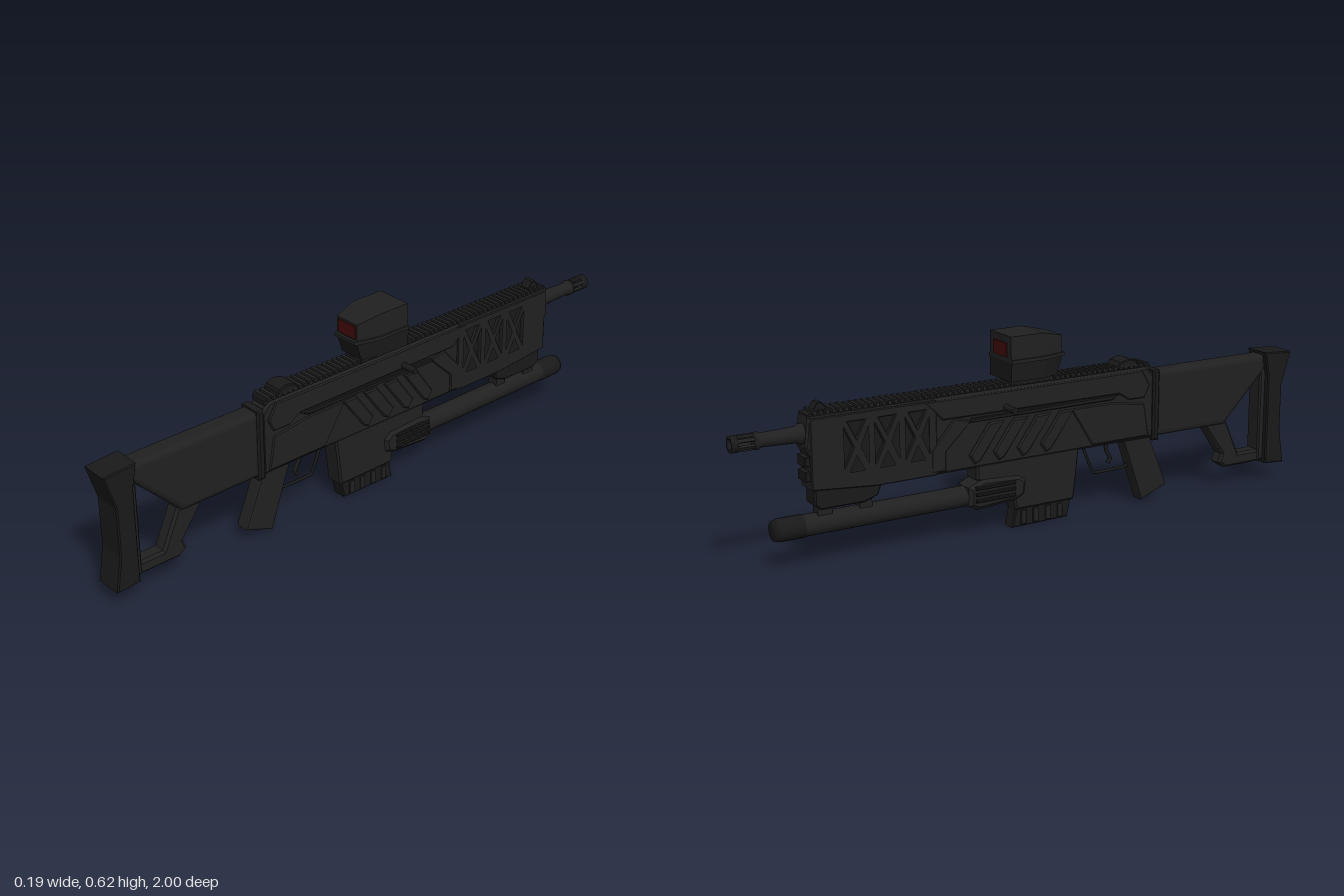
import * as THREE from 'three';
import { ConvexGeometry } from 'three/addons/geometries/ConvexGeometry.js';

const body = new THREE.MeshStandardMaterial({ color: 0x202020 });
body.name = 'charcoal';
const dark = new THREE.MeshStandardMaterial({ color: 0x191919 });
dark.name = 'near black';
const red = new THREE.MeshStandardMaterial({ color: 0x420a0a });
red.name = 'dark red glass';

export function createModel() {
  const model = new THREE.Group();
  model.name = 'rifle';

  const add = (name, geometry, material = body) => {
    const mesh = new THREE.Mesh(geometry, material);
    mesh.name = name;
    model.add(mesh);
    return mesh;
  };
  const path = (P, pts) => new P(pts.map(([z, y]) => new THREE.Vector2(z, y)));

  // Side outline given as [z, y], extruded from x0 to x1
  const slab = (name, pts, x0, x1, bevel = 0, material = body, holes = [], segments = 1) => {
    const shape = path(THREE.Shape, pts);
    shape.holes = holes.map(h => path(THREE.Path, h));
    const g = new THREE.ExtrudeGeometry(shape, {
      depth: x1 - x0 - 2 * bevel, bevelEnabled: bevel > 0, bevelThickness: bevel,
      bevelSize: bevel, bevelOffset: -bevel, bevelSegments: segments,
    });
    g.rotateY(-Math.PI / 2).translate(x1 - bevel, 0, 0);
    return add(name, g, material);
  };
  const plate = (name, pts, hw, bevel, material, segments) =>
    slab(name, pts, -hw, hw, bevel, material, [], segments);
  // Same outline on both flanks
  const flanks = (name, pts, x0, x1, bevel, material, holes) => {
    slab(name + 'Left', pts, x0, x1, bevel, material, holes);
    slab(name + 'Right', pts, -x1, -x0, bevel, material, holes);
  };
  const rect = (z0, z1, y0, y1) => [[z0, y0], [z1, y0], [z1, y1], [z0, y1]];
  const box = (name, hw, y0, y1, z0, z1, material = body, x = 0) => {
    const m = add(name, new THREE.BoxGeometry(2 * hw, y1 - y0, Math.abs(z1 - z0)), material);
    m.position.set(x, (y0 + y1) / 2, (z0 + z1) / 2);
    return m;
  };
  // Turned part along z: profile points are [radius, z]
  const turned = (name, pts, y, material = body, sides = 20) => {
    const g = new THREE.LatheGeometry(pts.map(p => new THREE.Vector2(p[0], -p[1])), sides);
    g.rotateX(-Math.PI / 2);
    const m = add(name, g.toNonIndexed(), material);
    m.position.y = y;
    return m;
  };
  const tube = (name, pts, r, material = dark) => add(name, new THREE.TubeGeometry(
    new THREE.CatmullRomCurve3(pts.map(([z, y]) => new THREE.Vector3(0, y, z)), false, 'catmullrom', 0.1),
    24, r, 8), material);

  // Stock
  plate('buttPlate', [[1, 0.443], [0.89, 0.45], [0.905, 0.37], [0.905, 0.06], [0.985, 0.055], [0.966, 0.17], [0.966, 0.33]], 0.048, 0.004, dark);
  plate('stock', [[0.9, 0.44], [0.45, 0.44], [0.45, 0.22], [0.735, 0.22], [0.9, 0.385]], 0.036, 0.018, body, 3);
  plate('stockPost', rect(0.915, 0.885, 0.07, 0.42), 0.03, 0.005);
  plate('stockStrut', [[0.75, 0.23], [0.655, 0.23], [0.735, 0.115], [0.722, 0.085], [0.75, 0.065], [0.91, 0.065], [0.91, 0.108], [0.805, 0.108]], 0.026, 0.008);
  plate('stockCollar', rect(0.46, 0.435, 0.21, 0.445), 0.041, 0.006, dark);

  // Receiver
  plate('receiver', [[0.44, 0.43], [0.41, 0.46], [-0.38, 0.46], [-0.38, 0.22], [0.44, 0.22]], 0.035, 0.008);
  flanks('upperCover', [[0.42, 0.4], [0.39, 0.452], [-0.4, 0.452], [-0.34, 0.39], [0.3, 0.385], [0.34, 0.36], [0.4, 0.36]], 0.03, 0.041, 0.004);
  flanks('coverTrim', [[0.3, 0.385], [-0.24, 0.382], [-0.25, 0.37], [0.27, 0.37]], 0.03, 0.045, 0.003, dark);
  flanks('lowerPanel', [[0.42, 0.23], [0.4, 0.34], [0.28, 0.36], [0.12, 0.36], [0.2, 0.23]], 0.03, 0.039, 0.004);
  for (let i = 0; i < 4; i++) {
    const z = 0.13 - i * 0.085;
    flanks('slantedRib' + i, [[z, 0.36], [z - 0.055, 0.36], [z - 0.125, 0.265], [z - 0.105, 0.235], [z - 0.085, 0.245]], 0.03, 0.043, 0.005);
  }
  flanks('frontBrace', [[-0.24, 0.375], [-0.3, 0.39], [-0.38, 0.3], [-0.38, 0.23], [-0.33, 0.23], [-0.33, 0.29]], 0.03, 0.041, 0.004);
  const handle = add('chargingHandle', new THREE.CylinderGeometry(0.0105, 0.0105, 0.19, 12).rotateZ(Math.PI / 2), dark);
  handle.position.set(0, 0.4, -0.12);

  // Handguard with triangular openings over a dark core
  plate('handguardCore', [[-0.36, 0.22], [-0.54, 0.225], [-0.75, 0.235], [-0.75, 0.45], [-0.36, 0.45]], 0.027, 0.004, dark);
  const holes = [];
  for (let i = 0; i < 3; i++) {
    const a = -0.385 - i * 0.1, b = a - 0.08, m = (a + b) / 2;
    holes.push([[a - 0.012, 0.43], [b + 0.012, 0.43], [m, 0.375]],
      [[a - 0.012, 0.275], [b + 0.012, 0.275], [m, 0.33]],
      [[a, 0.415], [a, 0.29], [m + 0.01, 0.352]],
      [[b, 0.415], [b, 0.29], [m - 0.01, 0.352]]);
  }
  flanks('handguardTruss', [[-0.36, 0.222], [-0.56, 0.222], [-0.77, 0.24], [-0.77, 0.455], [-0.36, 0.455]], 0.025, 0.04, 0.003, body, holes);
  plate('handguardTop', rect(-0.37, -0.77, 0.44, 0.46), 0.036, 0.004);
  plate('noseBlock', [[-0.7, 0.24], [-0.77, 0.24], [-0.77, 0.34], [-0.785, 0.37], [-0.775, 0.46], [-0.7, 0.46]], 0.037, 0.006);
  for (let i = 0; i < 2; i++)
    plate('noseLug' + i, rect(-0.76, -0.785, 0.265 + i * 0.045, 0.295 + i * 0.045), 0.028, 0.003, dark);

  // Toothed top rail and sights
  box('topRail', 0.028, 0.45, 0.466, 0.425, -0.775, dark);
  for (let i = 0; i < 59; i++) {
    const z = 0.415 - i * 0.02;
    box('railTooth' + i, 0.034, 0.462, 0.474, z, z - 0.011);
  }
  plate('rearSight', [[0.375, 0.465], [0.37, 0.485], [0.345, 0.494], [0.31, 0.486], [0.295, 0.465]], 0.034, 0.003, dark);
  plate('frontSight', [[-0.7, 0.465], [-0.722, 0.495], [-0.736, 0.495], [-0.755, 0.465]], 0.018, 0.002, dark);

  // Barrel and slotted muzzle
  turned('barrel', [[0, -0.74], [0.031, -0.74], [0.031, -0.79], [0.025, -0.8], [0.021, -0.91], [0.026, -0.915], [0.026, -0.93], [0, -0.93]], 0.405);
  turned('muzzleRing', [[0.015, -0.98], [0.025, -0.98], [0.025, -1], [0.015, -1], [0.015, -0.98]], 0.405, dark);
  for (let i = 0; i < 6; i++) {
    const a = i * Math.PI / 3 + Math.PI / 6;
    const bar = box('muzzleBar' + i, 0.005, 0, 0.009, -0.92, -0.99);
    bar.position.x = 0.02 * Math.cos(a);
    bar.position.y = 0.405 + 0.02 * Math.sin(a);
    bar.rotation.z = a - Math.PI / 2;
  }

  // Grip, trigger and guard
  plate('pistolGrip', [[0.43, 0.23], [0.325, 0.23], [0.345, 0.18], [0.405, 0.008], [0.505, 0.048]], 0.026, 0.008, body, 2);
  tube('triggerGuard', [[0.36, 0.13], [0.345, 0.125], [0.23, 0.125], [0.185, 0.225]], 0.005);
  tube('trigger', [[0.275, 0.225], [0.28, 0.19], [0.295, 0.165], [0.285, 0.148]], 0.007);

  // Magazine well and magazine
  plate('magazineWell', [[0.155, 0.23], [0.135, 0.06], [-0.08, 0.06], [-0.09, 0.11], [-0.22, 0.18], [-0.22, 0.23]], 0.033, 0.006);
  plate('magazine', [[0.13, 0.07], [0.115, 0.003], [-0.09, 0], [-0.075, 0.07]], 0.025, 0.004, dark);
  for (let i = 0; i < 4; i++)
    flanks('magazineRib' + i, rect(0.095 - i * 0.045, 0.075 - i * 0.045, 0.008, 0.055), 0.02, 0.029, 0.002);

  // Underbarrel tube with its clamp and mount
  turned('underbarrelTube', [[0, -0.05], [0.03, -0.05], [0.033, -0.07], [0.033, -0.79], [0, -0.79]], 0.127);
  turned('tubeCap', [[0, -0.79], [0.035, -0.79], [0.035, -0.865], [0.03, -0.882], [0, -0.882]], 0.127, dark);
  plate('tubeClamp', [[-0.045, 0.155], [-0.05, 0.11], [-0.08, 0.095], [-0.22, 0.085], [-0.25, 0.1], [-0.25, 0.16], [-0.2, 0.182], [-0.07, 0.175]], 0.043, 0.012);
  for (let i = 0; i < 3; i++)
    flanks('clampRidge' + i, rect(-0.09, -0.23, 0.112 + i * 0.02, 0.123 + i * 0.02), 0.035, 0.05, 0.003, dark);
  plate('tubeMount', [[-0.54, 0.23], [-0.555, 0.19], [-0.6, 0.175], [-0.74, 0.175], [-0.76, 0.19], [-0.76, 0.25]], 0.032, 0.005, dark);
  box('mountFootRear', 0.018, 0.145, 0.185, -0.57, -0.61);
  box('mountFootFront', 0.018, 0.145, 0.185, -0.7, -0.745);

  // Reflex sight: loft layers tapering toward the eye
  const hull = (name, pts, material) => add(name, new ConvexGeometry(
    pts.flatMap(([x, y, z]) => [new THREE.Vector3(x, y, z), new THREE.Vector3(-x, y, z)])), material);
  box('opticFoot', 0.036, 0.465, 0.495, 0.05, -0.09, dark);
  hull('opticBase', [[0.064, 0.482, -0.115], [0.064, 0.482, 0], [0.045, 0.482, 0.06],
    [0.066, 0.542, -0.115], [0.066, 0.542, 0.01], [0.045, 0.542, 0.08]], dark);
  hull('opticFlange', [[0.07, 0.54, -0.115], [0.07, 0.54, 0.01], [0.046, 0.54, 0.088],
    [0.07, 0.551, -0.115], [0.07, 0.551, 0.01], [0.046, 0.551, 0.088]]);
  hull('opticHood', [[0.064, 0.548, -0.115], [0.064, 0.548, 0], [0.046, 0.548, 0.078],
    [0.062, 0.623, -0.115], [0.062, 0.623, 0], [0.046, 0.605, 0.078]]);
  box('rearLens', 0.039, 0.556, 0.598, 0.076, 0.081, red);
  box('frontLens', 0.039, 0.556, 0.6, -0.113, -0.118, red);

  return model;
}
